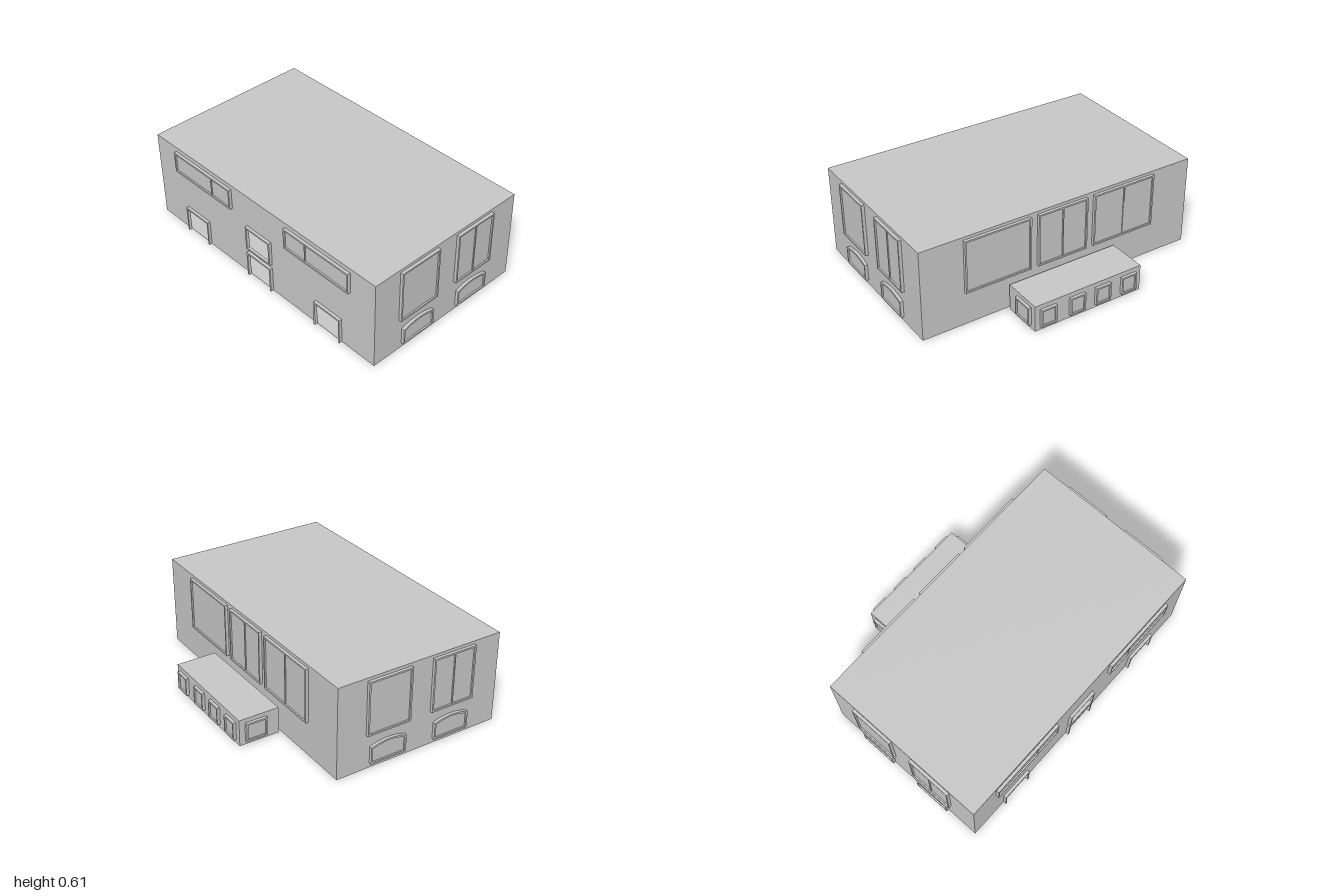
import * as THREE from 'three';

const X0 = -0.725, X1 = 0.432, XC = (X0 + X1) / 2, H = 0.61, Z = 0.98, D = 0.02;

export function createModel() {
  const model = new THREE.Group();
  model.name = 'building';
  const grey = new THREE.MeshStandardMaterial({ color: 0xc5c5c5, side: THREE.DoubleSide });
  grey.name = 'plain grey';

  const add = (parent, name, geometry, x = 0, y = 0, z = 0) => {
    const mesh = new THREE.Mesh(geometry, grey);
    mesh.name = name;
    mesh.position.set(x, y, z);
    parent.add(mesh);
    return mesh;
  };

  // Outline w by h standing on y = 0; rise lifts the middle of the top into an arch
  const outline = (Type, w, h, inset = 0, rise = 0) => {
    const a = w / 2 - inset, top = h - inset, s = new Type();
    s.moveTo(-a, inset);
    s.lineTo(a, inset);
    s.lineTo(a, top - rise);
    if (rise) s.quadraticCurveTo(0, top + rise, -a, top - rise);
    else s.lineTo(-a, top);
    s.closePath();
    return s;
  };

  const polygon = (Type, points) => new Type(points.map(([x, y]) => new THREE.Vector2(x, y)));
  const rectangle = (Type, x0, y0, x1, y1) => polygon(Type, [[x0, y0], [x1, y0], [x1, y1], [x0, y1]]);
  const extrude = (shape) => new THREE.ExtrudeGeometry(shape, { depth: D, bevelEnabled: false, curveSegments: 8 });

  // Each side has its own group whose +z points outwards
  const side = (name, x, z, turn) => {
    const g = new THREE.Group();
    g.name = name;
    g.position.set(x, 0, z);
    g.rotation.y = turn;
    model.add(g);
    return g;
  };
  const front = side('frontSide', 0, Z, 0);
  const back = side('backSide', 0, -Z, Math.PI);
  const left = side('leftSide', X1, 0, Math.PI / 2);
  const right = side('rightSide', X0, 0, -Math.PI / 2);

  // Raised window frame with an optional recessed pane and mullion
  const windowUnit = (wall, name, u, y, w, h, { rise = 0, pane = true, mullion = null } = {}) => {
    const bar = 0.011, g = new THREE.Group();
    g.name = name;
    g.position.set(u, y, 0);
    wall.add(g);
    const s = outline(THREE.Shape, w, h, 0, rise);
    s.holes.push(outline(THREE.Path, w, h, bar, rise));
    add(g, name + 'Frame', extrude(s));
    if (pane) add(g, name + 'Pane', new THREE.ShapeGeometry(outline(THREE.Shape, w, h, bar, rise), 8), 0, 0, 0.01);
    if (mullion !== null) {
      add(g, name + 'Mullion', new THREE.BoxGeometry(0.008, h - 2 * bar, 0.008), mullion, h / 2, 0.012);
    }
  };

  // Door frame: two posts and a lintel, open at the ground
  const doorFrame = (wall, name, u, w, h) => {
    const a = w / 2, b = a - 0.011, t = h - 0.011;
    const s = polygon(THREE.Shape, [[-a, 0], [-b, 0], [-b, t], [b, t], [b, 0], [a, 0], [a, h], [-a, h]]);
    add(wall, name, extrude(s), u);
  };

  // Shell: roof, floor and four walls, with openings cut through
  add(model, 'roof', new THREE.BoxGeometry(X1 - X0, 0.008, 2 * Z), XC, H - 0.004, 0);
  add(model, 'floor', new THREE.PlaneGeometry(X1 - X0, 2 * Z), XC).rotation.x = -Math.PI / 2;
  const wall = (parent, name, u0, u1, holes = []) => {
    const s = rectangle(THREE.Shape, u0, 0, u1, H);
    for (const [u, y, w, h] of holes) {
      const a = w / 2 - 0.011;
      s.holes.push(rectangle(THREE.Path, u - a, y + 0.002, u + a, y + h - 0.011));
    }
    add(parent, name, new THREE.ShapeGeometry(s));
  };
  const doors = [-0.605, 0, 0.605].map((u) => [u, 0, 0.22, 0.18]);
  const smallDoors = [-0.205, 0.215].map((u) => [u, 0, 0.075, 0.125]);
  const hatch = [0, 0.21, 0.22, 0.17];
  wall(front, 'frontWall', X0, X1);
  wall(back, 'backWall', -X1, -X0);
  wall(left, 'leftWall', -Z, Z, smallDoors);
  wall(right, 'rightWall', -Z, Z, [...doors, hatch]);

  // Tall windows above arched ones on both end walls
  for (const [end, sign] of [[front, 1], [back, -1]]) {
    for (const x of [-0.38, 0.08]) {
      const divided = (x > 0) === (sign > 0);
      windowUnit(end, 'tallWindow', x * sign, 0.23, 0.305, 0.36, { mullion: divided ? 0 : null });
      windowUnit(end, 'archedWindow', x * sign, 0.03, 0.25, 0.137, { rise: 0.022 });
    }
  }

  // Large windows and the two small doorways behind the annex
  windowUnit(left, 'wideWindow', -0.46, 0.23, 0.46, 0.36);
  windowUnit(left, 'middleWindow', 0, 0.23, 0.36, 0.36, { mullion: 0 });
  windowUnit(left, 'wideWindow', 0.46, 0.23, 0.46, 0.36, { mullion: 0 });
  for (const [u, , w, h] of smallDoors) doorFrame(left, 'smallDoorFrame', u, w, h);

  // High strip windows, open doorways and the hatch above the middle one
  for (const m of [-1, 1]) {
    windowUnit(right, 'stripWindow', m * 0.515, 0.435, 0.54, 0.145, { mullion: -m * 0.09 });
  }
  for (const [u, , w, h] of doors) doorFrame(right, 'doorFrame', u, w, h);
  windowUnit(right, 'hatch', ...hatch, { pane: false });

  // Low annex with windows on three sides
  add(model, 'annex', new THREE.BoxGeometry(0.271, 0.178, 0.78), 0.5865, 0.089, 0);
  const annexLeft = side('annexLeftSide', 0.722, 0, Math.PI / 2);
  for (const z of [-0.295, -0.1, 0.09, 0.3]) {
    windowUnit(annexLeft, 'annexWindow', -z, 0.025, 0.112, 0.122);
  }
  const annexFront = side('annexFrontSide', 0.61, 0.39, 0);
  const annexBack = side('annexBackSide', 0.61, -0.39, Math.PI);
  for (const end of [annexFront, annexBack]) {
    windowUnit(end, 'annexEndWindow', 0, 0.025, 0.145, 0.125);
  }

  return model;
}
